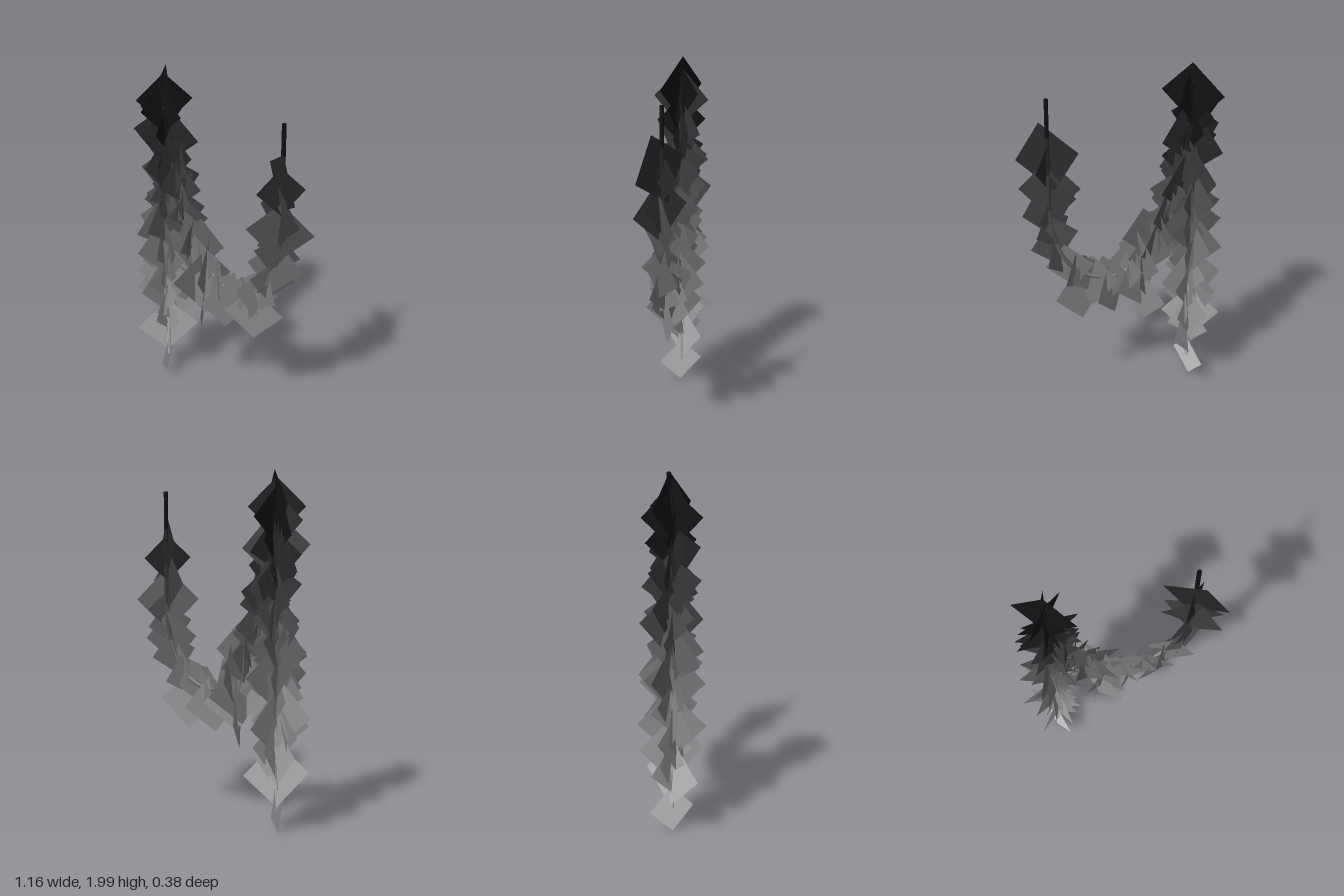
import * as THREE from 'three';

// Seeded random numbers so the foliage is always the same
function seeded(seed) {
  return () => {
    seed = (seed * 1664525 + 1013904223) % 4294967296;
    return seed / 4294967296;
  };
}

const path = (points) => new THREE.CatmullRomCurve3(points.map(([x, y, z = 0]) => new THREE.Vector3(x, y, z)));

export function createModel() {
  const model = new THREE.Group();
  model.name = 'hangingVine';
  const random = seeded(11);

  // Dark at the top of the vine, pale at the bottom
  const bands = 10;
  const shades = Array.from({ length: bands }, (_, i) => {
    const v = THREE.MathUtils.lerp(0.8, 0.07, i / (bands - 1));
    return new THREE.MeshStandardMaterial({
      color: new THREE.Color().setRGB(v, v, v, THREE.SRGBColorSpace), side: THREE.DoubleSide,
    });
  });
  const shadeAt = (y) => shades[THREE.MathUtils.clamp(Math.floor(y / 1.8 * bands), 0, bands - 1)];

  // Stems: one strand hanging straight, one swag rising to a bare end
  const strand = path([[-0.38, 1.88], [-0.375, 1.4], [-0.385, 0.9], [-0.385, 0.5], [-0.39, 0.14]]);
  const swag = path([
    [-0.37, 1.88, -0.01], [-0.34, 1.5, -0.01], [-0.25, 1.15, -0.01], [-0.12, 0.88, -0.01], [0.04, 0.76, -0.01],
    [0.2, 0.78, -0.01], [0.33, 0.89, -0.01], [0.405, 1.1, -0.01], [0.415, 1.45, -0.01], [0.415, 1.86, -0.01],
  ]);
  const addStem = (curve, name) => {
    // Cut into pieces so each takes the shade of its height
    const group = new THREE.Group();
    group.name = name;
    const pieces = 12;
    for (let i = 0; i < pieces; i++) {
      const points = Array.from({ length: 5 }, (_, j) => curve.getPointAt((i + j / 4) / pieces));
      const tube = new THREE.TubeGeometry(new THREE.CatmullRomCurve3(points), 4, 0.012, 6);
      const piece = new THREE.Mesh(tube, shadeAt(points[2].y));
      piece.name = 'stemPiece';
      group.add(piece);
    }
    model.add(group);
  };
  addStem(strand, 'hangingStem');
  addStem(swag, 'swagStem');

  // Leaves: upright square cards standing on a corner, turned all ways
  const card = new THREE.PlaneGeometry(1, 1);
  const foliage = new THREE.Group();
  foliage.name = 'foliage';
  model.add(foliage);
  const addLeaf = (x, y, z, size, yaw, roll, tilt) => {
    const leaf = new THREE.Mesh(card, shadeAt(y));
    leaf.name = 'leaf';
    leaf.position.set(x, y, z);
    leaf.rotation.set(tilt, yaw, roll, 'YXZ');
    leaf.scale.setScalar(size);
    foliage.add(leaf);
  };
  const scatter = (curve, count, from, to, minSize, maxSize) => {
    for (let i = 0; i < count; i++) {
      const p = curve.getPointAt(THREE.MathUtils.lerp(from, to, i / (count - 1)));
      const size = THREE.MathUtils.lerp(minSize, maxSize, random());
      const yaw = i * 2.4 + random() * 0.5;
      const roll = Math.PI / 4 + (random() - 0.5) * 0.5;
      addLeaf(p.x + (random() - 0.5) * 0.05, p.y, p.z + (random() - 0.5) * 0.05,
        size, yaw, roll, (random() - 0.5) * 0.3);
    }
  };
  scatter(strand, 32, 0.09, 0.87, 0.17, 0.24);
  scatter(swag, 14, 0.16, 0.4, 0.15, 0.22);

  // Larger leaves that set the outline: x, y, size, yaw, roll
  const strandLeaves = [
    [-0.38, 1.82, 0.25, -0.6, 0.785], [-0.38, 1.8, 0.22, 0.8, 0.785], [-0.38, 1.76, 0.23, 1.4, 0.75],
    [-0.375, 1.59, 0.27, 0.35, 0.7], [-0.37, 1.42, 0.22, -1.2, 0.785], [-0.375, 1.21, 0.27, -1.1, 0.7],
    [-0.39, 1.03, 0.26, 0.1, 0.75], [-0.385, 0.92, 0.27, -0.6, 0.8], [-0.385, 0.89, 0.27, 1.2, 0.8],
    [-0.4, 0.68, 0.27, 0.2, 0.8], [-0.39, 0.63, 0.27, 1.4, 0.75], [-0.4, 0.45, 0.24, -0.4, 0.75],
    [-0.385, 0.49, 0.26, -1.25, 0.7], [-0.39, 0.34, 0.26, 0.85, 0.785], [-0.395, 0.135, 0.185, -1.15, 0.785],
  ];
  const swagLeaves = [
    // upright end
    [0.42, 1.53, 0.27, -0.6, 0.53], [0.415, 1.48, 0.19, 0.9, 0.785], [0.41, 1.34, 0.24, -0.3, 0.75],
    [0.415, 1.31, 0.25, -0.75, 0.7], [0.415, 1.24, 0.26, 0.5, 0.75], [0.41, 1.18, 0.17, 0.9, 0.8],
    [0.4, 1.1, 0.18, 0.6, 0.6], [0.39, 1.02, 0.22, 0.4, 0.7], [0.37, 0.93, 0.18, 0.9, 0.6],
    // bottom of the swag
    [0.31, 0.85, 0.2, -0.4, 0.6], [0.25, 0.67, 0.24, 0.42, 0.785], [0.27, 0.81, 0.18, 0.9, 0.5],
    [0.18, 0.74, 0.22, -0.4, 0.75], [0.2, 0.78, 0.18, 0.3, 0.6], [0.07, 0.67, 0.23, 0.85, 0.7],
    [0.09, 0.75, 0.2, -0.4, 0.6], [0, 0.78, 0.2, -0.9, 0.6],
    // falling side
    [-0.11, 0.61, 0.25, -1.0, 0.785], [-0.12, 0.77, 0.27, 1.2, 0.7], [-0.085, 0.85, 0.27, -1.17, 0.8],
    [-0.08, 0.71, 0.24, 0.6, 0.7], [-0.03, 0.8, 0.21, -0.5, 0.65], [-0.14, 0.92, 0.23, -0.8, 0.8],
    [-0.15, 0.88, 0.2, 0.3, 0.7], [-0.13, 1.01, 0.21, 0.2, 0.7],
  ];
  [...strandLeaves, ...swagLeaves].forEach(([x, y, size, yaw, roll], i) =>
    addLeaf(x, y, 0, size, yaw, roll, i % 2 ? 0.08 : -0.08));

  return model;
}
